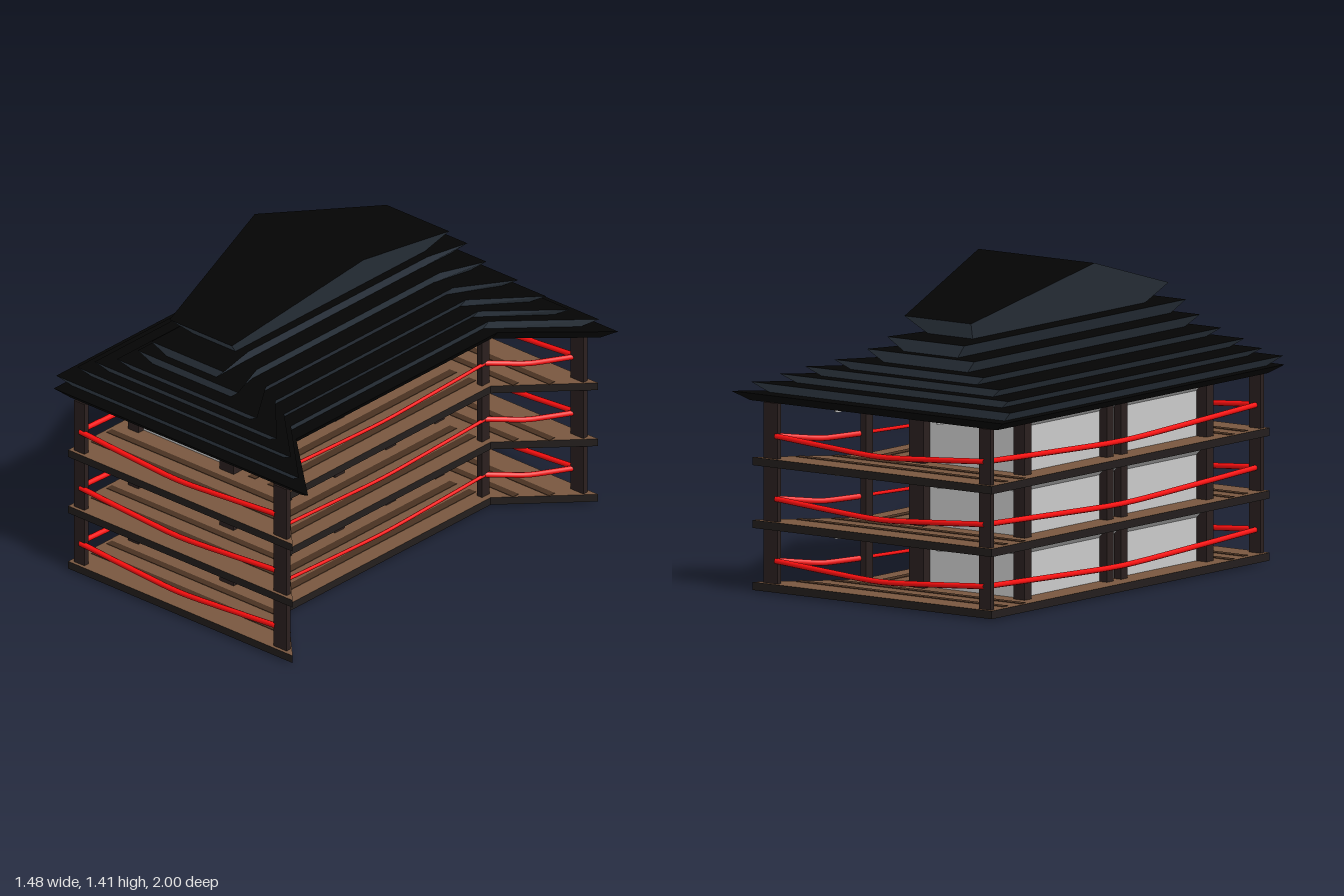
import * as THREE from 'three';
import { mergeGeometries } from 'three/addons/utils/BufferGeometryUtils.js';

const mat = color => new THREE.MeshStandardMaterial({ color, flatShading: true });
const M = {
  black: mat(0x040404), slate: mat(0x3b4652), edge: mat(0x231e1d), under: mat(0x121813),
  deck: mat(0x7a5840), post: mat(0x2b201f), wall: mat(0xcccccc), brown: mat(0x4a3222),
  tan: mat(0xe8c28a), lamp: mat(0xf4f4f4), rafter: mat(0x644425),
  red: new THREE.MeshStandardMaterial({ color: 0xff0f0f }),
};

// Plan outline with a recessed +x side, counter-clockwise seen from above
const plan = (back, end, waist, zE, zW) =>
  [[back, zE], [end, zE], [waist, zW], [waist, -zW], [end, -zE], [back, -zE]];

const rect = (x0, x1, z) => [[x0, z], [x1, z], [x1, -z], [x0, -z]];

// Slab between two matching outlines; materials for sides, top and underside
function slab(name, lower, upper, y0, y1, mats) {
  const pos = [];
  lower.forEach((a, i) => {
    const j = (i + 1) % lower.length, b = lower[j], c = upper[j], d = upper[i];
    const A = [a[0], y0, a[1]], B = [b[0], y0, b[1]], C = [c[0], y1, c[1]], D = [d[0], y1, d[1]];
    pos.push(...A, ...B, ...C, ...A, ...C, ...D);
  });
  const sides = new THREE.BufferGeometry();
  sides.setAttribute('position', new THREE.Float32BufferAttribute(pos, 3));
  sides.computeVertexNormals();
  const cap = (pts, s) => new THREE.ShapeGeometry(
    new THREE.Shape(pts.map(([x, z]) => new THREE.Vector2(x, s * z)))).rotateX(s * Math.PI / 2);
  const g = new THREE.Group();
  g.name = name;
  g.add(new THREE.Mesh(sides, mats[0]),
    new THREE.Mesh(cap(upper, -1).translate(0, y1, 0), mats[1]),
    new THREE.Mesh(cap(lower, 1).translate(0, y0, 0), mats[2]));
  ['Sides', 'Top', 'Underside'].forEach((n, i) => { g.children[i].name = name + n; });
  return g;
}

const box = (w, h, d, x, y, z) => new THREE.BoxGeometry(w, h, d).translate(x, y, z);

function merged(name, geos, material) {
  const m = new THREE.Mesh(mergeGeometries(geos), material);
  m.name = name;
  return m;
}

// Sagging rail between two plan points
function rail([x0, z0], [x1, z1], y, sag, radius = 0.0125) {
  const pts = [0, 0.25, 0.46, 0.54, 0.75, 1].map(t => new THREE.Vector3(
    x0 + (x1 - x0) * t, y - sag * (1 - Math.pow(Math.abs(2 * t - 1), 1.15)), z0 + (z1 - z0) * t));
  return new THREE.TubeGeometry(new THREE.CatmullRomCurve3(pts), 20, radius, 8);
}

// Square capital flaring upward from a post
const capital = (x, z, y) =>
  new THREE.CylinderGeometry(0.085, 0.045, 0.05, 4).rotateY(Math.PI / 4).translate(x, y - 0.025, z);

function storey(y, top) {
  const g = new THREE.Group();
  g.name = 'storey';
  const mid = (y + top) / 2, h = top - y;

  // Floor with wooden deck
  const outline = plan(-0.657, 0.635, 0.31, 0.985, 0.655);
  g.add(slab('floor', outline, outline, y - 0.035, y, [M.edge, M.deck, M.under]));

  // Dark boards laid across the deck
  const boards = [];
  for (const s of [1, -1]) {
    boards.push(box(1.02, 0.003, 0.035, -0.13, y + 0.001, s * 0.74));
    boards.push(box(1.12, 0.003, 0.035, -0.07, y + 0.001, s * 0.85));
  }
  boards.push(box(0.04, 0.003, 1.3, 0.1, y + 0.001, 0), box(0.04, 0.003, 1.3, 0.21, y + 0.001, 0));
  g.add(merged('deckBoards', boards, M.brown));

  // Enclosed core and its flared cornice
  const core = rect(-0.54, 0, 0.635);
  g.add(slab('coreWall', core, core, y, top - 0.04, [M.wall, M.wall, M.wall]));
  g.add(slab('cornice', core, rect(-0.59, 0.045, 0.68), top - 0.045, top, [M.wall, M.wall, M.wall]));

  // Posts: outer corners, waist corners, core corners, facade, back pair
  const posts = [], caps = [];
  for (const s of [1, -1]) {
    posts.push(box(0.075, h, 0.026, 0.549, mid, s * 0.957));
    posts.push(box(0.06, h, 0.026, -0.608, mid, s * 0.957));
    posts.push(box(0.03, h, 0.05, 0.268, mid, s * 0.655));
    posts.push(box(0.06, h, 0.05, -0.565, mid, s * 0.645));
    posts.push(box(0.08, h, 0.06, -0.018, mid, s * 0.65));
    posts.push(box(0.07, h, 0.065, -0.012, mid, s * 0.335));
    posts.push(box(0.04, h, 0.045, -0.565, mid, s * 0.05));
    caps.push(capital(-0.02, s * 0.65, top), capital(-0.01, s * 0.335, top));
  }
  posts.push(box(0.07, h, 0.062, -0.008, mid, 0));
  g.add(merged('posts', posts, M.post), merged('postCapitals', caps, M.post));

  // Slatted facade bays on the recessed side
  const slats = [], rafters = [];
  for (const z of [-0.498, -0.173, 0.173, 0.498])
    for (let i = 0; i < 5; i++) slats.push(box(0.02, 0.024, 0.26, 0.014, y + 0.022 + i * 0.036, z));
  // Sloping rafters from the facade out to the eaves
  for (const [z, width] of [[-0.335, 0.065], [-0.185, 0.03], [0.185, 0.03], [0.335, 0.065]])
    rafters.push(new THREE.BoxGeometry(0.24, 0.008, width).rotateZ(0.27).translate(0.138, top - 0.033, z));
  g.add(merged('facadeBacking', [box(0.012, 0.185, 1.26, 0.004, y + 0.0925, 0)], M.brown),
    merged('facadeSlats', slats, M.tan), merged('rafters', rafters, M.rafter));

  // Red rails all round, fixed to the outer faces of the posts
  const ry = y + 0.1;
  const rails = [
    rail([-0.61, 0.96], [-0.61, -0.96], ry, 0.035),
    rail([0.278, 0.65], [0.278, -0.65], ry, 0.022, 0.008),
  ];
  for (const s of [1, -1]) {
    rails.push(rail([-0.605, s * 0.966], [0.523, s * 0.966], ry, 0.037));
    rails.push(rail([0.523, s * 0.955], [0.268, s * 0.65], ry, 0.018));
  }
  g.add(merged('rails', rails, M.red));
  return g;
}

// Lamps hanging below a ceiling
function lamps(y) {
  const geos = [];
  for (const x of [-0.28, 0.272])
    for (const z of [-0.855, 0.855]) {
      geos.push(new THREE.CylinderGeometry(0.024, 0.024, 0.008, 12).translate(x, y - 0.004, z));
      geos.push(new THREE.CylinderGeometry(0.015, 0.015, 0.019, 12).translate(x, y - 0.0175, z));
    }
  return merged('lamps', geos, M.lamp);
}

function roof() {
  const g = new THREE.Group();
  g.name = 'roof';
  // Stacked flared tiers: back, end, waist, half length, top height
  const tiers = [
    [-0.727, 0.737, 0.356, 1.0, 0.868], [-0.742, 0.655, 0.315, 0.967, 0.912], [-0.682, 0.55, 0.265, 0.9, 0.948],
    [-0.61, 0.44, 0.205, 0.868, 0.987], [-0.505, 0.302, 0.14, 0.842, 1.027],
    [-0.422, 0.157, 0.075, 0.8, 1.082], [-0.357, 0.06, 0.015, 0.785, 1.143],
  ];
  let y = 0.83;
  tiers.forEach(([back, end, waist, z, top], i) => {
    const zW = 0.65 - i * 0.012, inset = i < 2 ? 0.04 : 0.03;
    g.add(slab('roofTier', plan(back + 0.06, end - 0.07, waist - 0.03, z - inset, zW - 0.005),
      plan(back, end, waist, z, zW), y, top, [i ? M.slate : M.black, M.black, M.under]));
    y = top - 0.002;
  });

  // Crowning gable whose sides lean outward towards the ridge
  const profile = [[-0.61, 1.141], [0.61, 1.141], [0.7, 1.225], [0, 1.413], [-0.7, 1.225]];
  const geo = new THREE.ExtrudeGeometry(new THREE.Shape(profile.map(p => new THREE.Vector2(...p))),
    { depth: 1, bevelEnabled: false }).rotateY(Math.PI / 2);
  const p = geo.attributes.position;
  for (let i = 0; i < p.count; i++) {
    const half = 0.12 + (p.getY(i) - 1.141) * 0.71;
    p.setX(i, -0.149 + (p.getX(i) - 0.5) * 2 * half);
  }
  geo.computeVertexNormals();
  // Leaning ends and flared lower faces are slate, the upper slopes black
  geo.clearGroups();
  const normal = geo.attributes.normal;
  for (let i = 0; i < p.count; i += 3) geo.addGroup(i, 3, normal.getY(i) > 0.1 ? 1 : 0);
  const crown = new THREE.Mesh(geo, [M.slate, M.black]);
  crown.name = 'crownGable';
  g.add(crown);
  return g;
}

export function createModel() {
  const model = new THREE.Group();
  model.name = 'tieredPavilion';
  const floors = [0.045, 0.315, 0.588], ceilings = [0.28, 0.553, 0.831];
  floors.forEach((y, i) => model.add(storey(y, ceilings[i]), lamps(ceilings[i])));
  model.add(lamps(0.027), roof());

  // Framed panel under the core
  const frame = rect(-0.585, 0.04, 0.68), panel = rect(-0.57, 0.025, 0.665);
  model.add(slab('baseFrame', frame, frame, 0.0085, 0.012, [M.brown, M.brown, M.brown]),
    slab('basePanel', panel, panel, 0.007, 0.01, [M.wall, M.wall, M.wall]));
  return model;
}
